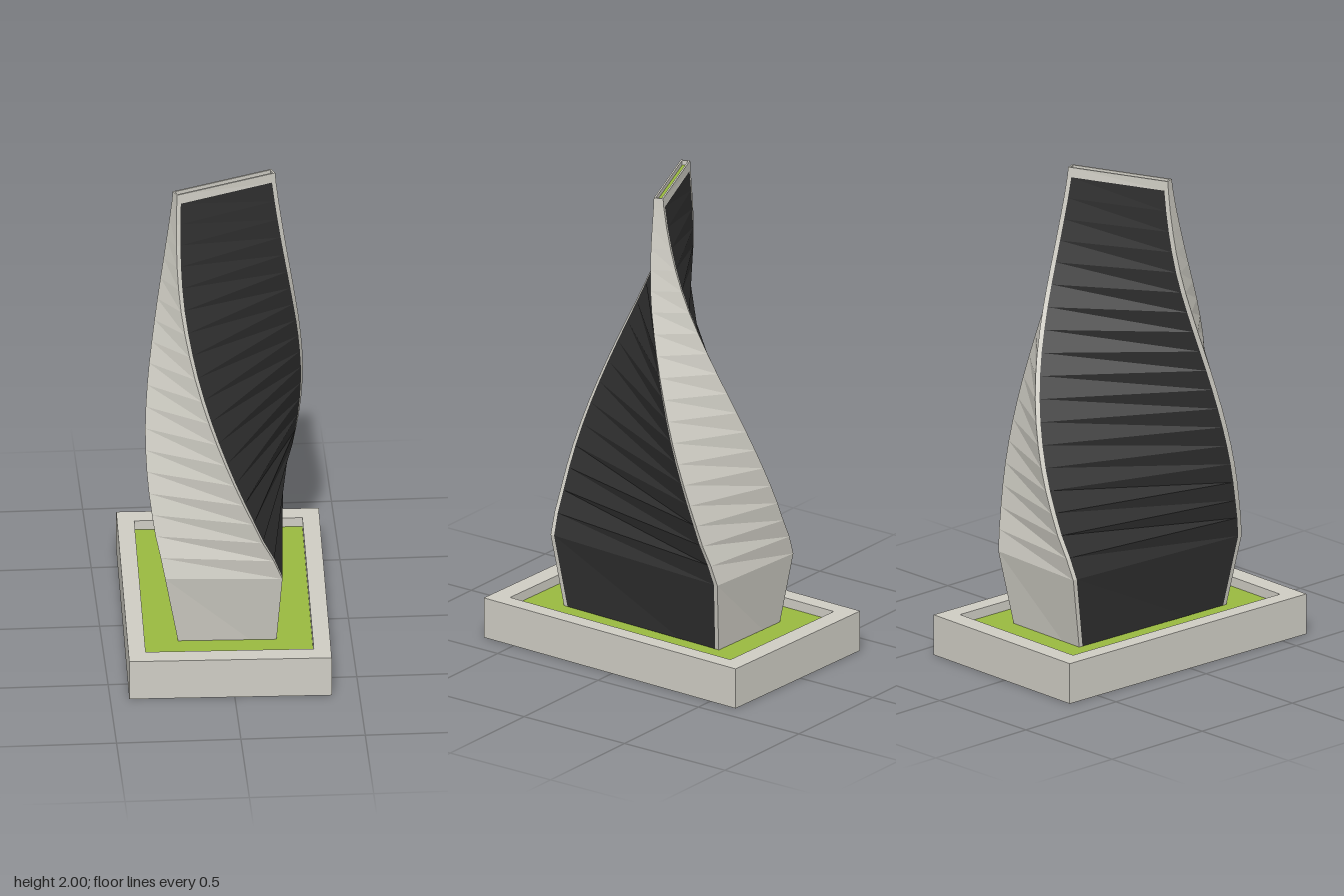
import * as THREE from 'three';

const material = (color) =>
  new THREE.MeshStandardMaterial({ color, flatShading: true, side: THREE.DoubleSide });
const pale = material(0xcfcdc4);
const dark = material(0x2f2f2f);
const green = material(0x9aba40);

// Tower sections: height, corner radius, heading and half angle between corners (degrees)
const SECTIONS = [
  [0.43, 0.498, 94, 28.2], [0.6, 0.48, 101.9, 26.9], [0.8, 0.456, 110.7, 25.1],
  [1.0, 0.421, 119.5, 23.1], [1.2, 0.376, 128.4, 20.5], [1.4, 0.325, 138, 17.4],
  [1.6, 0.279, 147.8, 13.7], [1.8, 0.244, 154.6, 9.3], [2.0, 0.22, 158, 5],
];
const FOOT = [0.04, 0.426, 91.3, 26];
const TRIM = 0.018;
const TOP = 2, PANEL_TOP = 1.96;

// Interpolated section: half length, half width and heading of the rectangle
function section(y) {
  let v;
  if (y < 0.43) {
    const t = (y - FOOT[0]) / (0.43 - FOOT[0]);
    v = FOOT.map((f, i) => THREE.MathUtils.lerp(f, SECTIONS[0][i], t));
  } else {
    let i = 0;
    while (i < SECTIONS.length - 2 && y > SECTIONS[i + 1][0]) i++;
    const at = (k) => SECTIONS[THREE.MathUtils.clamp(k, 0, SECTIONS.length - 1)];
    const a = at(i), b = at(i + 1), t = (y - a[0]) / (b[0] - a[0]);
    v = a.map((p1, k) => {
      const p2 = b[k], m1 = (p2 - at(i - 1)[k]) / 2, m2 = (at(i + 2)[k] - p1) / 2;
      return p1 + m1 * t + (3 * (p2 - p1) - 2 * m1 - m2) * t * t
        + (2 * (p1 - p2) + m1 + m2) * t * t * t;
    });
  }
  const half = THREE.MathUtils.degToRad(v[3]);
  return {
    length: v[1] * Math.cos(half),
    width: v[1] * Math.sin(half),
    heading: THREE.MathUtils.degToRad(v[2]),
  };
}

// Point on a section: su, sw pick the side; inU, inW move it inward
function point(y, su, sw, inU = 0, inW = 0) {
  const s = section(y);
  const u = su * (s.length - inU), w = sw * (s.width - inW);
  const c = Math.cos(s.heading), n = Math.sin(s.heading);
  return [u * c - w * n, y, u * n + w * c];
}

// Flat-shaded ribbon between two equally long rows of points
function ribbon(a, b) {
  const p = [];
  for (let i = 0; i < a.length - 1; i++) {
    p.push(...a[i], ...b[i], ...b[i + 1], ...a[i], ...b[i + 1], ...a[i + 1]);
  }
  const g = new THREE.BufferGeometry();
  g.setAttribute('position', new THREE.Float32BufferAttribute(p, 3));
  g.computeVertexNormals();
  return g;
}

const rect = (y, inset) =>
  [[1, 1], [-1, 1], [-1, -1], [1, -1]].map(([u, w]) => point(y, u, w, inset, inset));

// Plan outline of the slightly turned planter
function planterOutline(w, d) {
  const a = 0.027, c = Math.cos(a), s = Math.sin(a);
  return [[1, 1], [-1, 1], [-1, -1], [1, -1]].map(([i, j]) => {
    const x = i * w / 2, z = j * d / 2;
    return new THREE.Vector2(x * c - z * s, x * s + z * c);
  });
}

export function createModel() {
  const group = new THREE.Group();
  const add = (name, geometry, mat, parent = group) => {
    const mesh = new THREE.Mesh(geometry, mat);
    mesh.name = name;
    parent.add(mesh);
    return mesh;
  };

  // Planter frame
  const frame = new THREE.Shape(planterOutline(0.813, 1.28));
  frame.holes.push(new THREE.Path(planterOutline(0.675, 1.12)));
  const frameGeo = new THREE.ExtrudeGeometry(frame, { depth: 0.17, bevelEnabled: false });
  add('planterFrame', frameGeo.rotateX(Math.PI / 2).translate(0, 0.17, 0), pale);

  // Planting bed, top and underside, cut out around the tower
  for (const [name, y] of [['bedTop', 0.13], ['bedUnderside', 0.04]]) {
    const bed = new THREE.Shape(planterOutline(0.675, 1.12));
    bed.holes.push(new THREE.Path(rect(y, 0).map(([x, , z]) => new THREE.Vector2(x, z))));
    add(name, new THREE.ShapeGeometry(bed).rotateX(Math.PI / 2).translate(0, y, 0), green);
  }

  // Twisted tower
  const tower = new THREE.Group();
  tower.name = 'tower';
  group.add(tower);
  const steps = 18;
  const levels = [FOOT[0]];
  for (let i = 0; i <= steps; i++) levels.push(0.43 + (PANEL_TOP - 0.43) * i / steps);
  const full = [...levels, TOP];
  const edge = (ys, u, w, inU = 0) => ys.map((y) => point(y, u, w, inU));

  for (const s of [1, -1]) {
    // Narrow pale side, wide dark panel and the trim around it
    add('narrowSide', ribbon(edge(full, s, -s), edge(full, s, s)), pale, tower);
    add('darkPanel', ribbon(edge(levels, s, s, TRIM), edge(levels, -s, s, TRIM)), dark, tower);
    for (const u of [1, -1]) {
      add('edgeTrim', ribbon(edge(full, u, s), edge(full, u, s, TRIM)), pale, tower);
    }
    const lip = [PANEL_TOP, TOP];
    add('topTrim', ribbon(edge(lip, s, s, TRIM), edge(lip, -s, s, TRIM)), pale, tower);
  }

  // Top rim with a recessed green strip
  const close = (r) => [...r, r[0]];
  const inner = rect(TOP, 0.007);
  const sunk = inner.map(([x, y, z]) => [x, y - 0.02, z]);
  add('topRim', ribbon(close(rect(TOP, 0)), close(inner)), pale, tower);
  add('topRimInside', ribbon(close(inner), close(sunk)), pale, tower);
  add('topStrip', ribbon([sunk[0], sunk[1]], [sunk[3], sunk[2]]), green, tower);

  return group;
}
